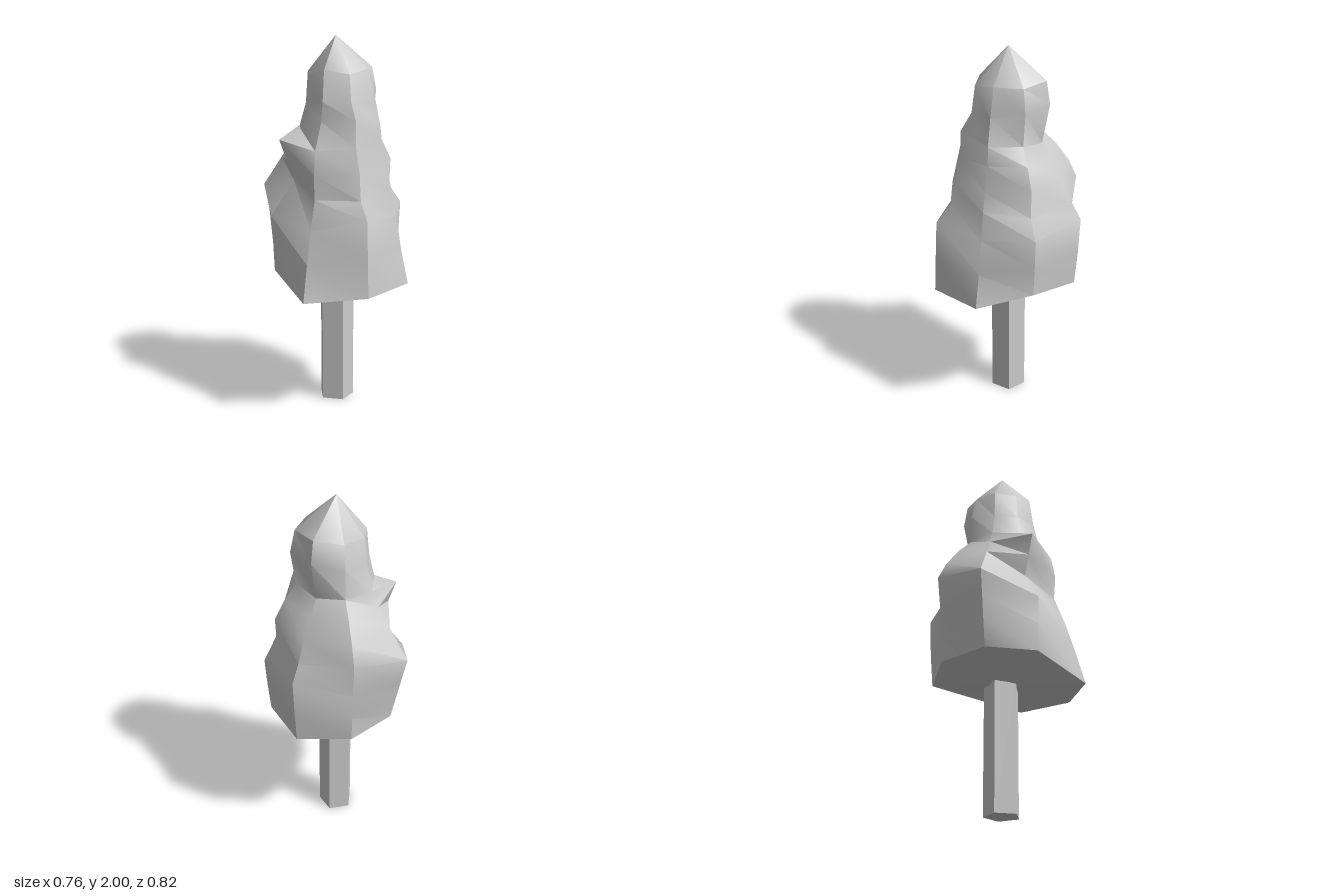
import * as THREE from 'three';
import { toCreasedNormals } from 'three/addons/utils/BufferGeometryUtils.js';

const CX = -0.01, CZ = -0.013;

// Eight ridges, going round from the front towards +x; each is [radius, height] from top to bottom.
const RIDGES = [
  [[0.18, 1.81], [0.2, 1.67], [0.26, 1.58], [0.265, 1.44], [0.31, 1.31], [0.325, 1.18], [0.405, 1.09], [0.415, 0.9], [0.425, 0.69]], // front
  [[0.18, 1.83], [0.22, 1.68], [0.25, 1.54], [0.255, 1.44], [0.29, 1.31], [0.315, 1.21], [0.34, 1.06], [0.375, 0.88], [0.415, 0.7]],
  [[0.21, 1.83], [0.235, 1.71], [0.21, 1.53], [0.27, 1.44], [0.325, 1.33], [0.32, 1.18], [0.39, 1.08], [0.38, 0.92], [0.365, 0.76]], // +x
  [[0.21, 1.84], [0.23, 1.72], [0.19, 1.51], [0.24, 1.43], [0.3, 1.33], [0.36, 1.21], [0.415, 1.12], [0.405, 0.92], [0.39, 0.74]],
  [[0.17, 1.81], [0.2, 1.68], [0.2, 1.52], [0.27, 1.45], [0.35, 1.34], [0.397, 1.24], [0.375, 1.05], [0.368, 0.9], [0.362, 0.76]], // back
  [[0.16, 1.81], [0.17, 1.65], [0.21, 1.52], [0.25, 1.44], [0.32, 1.34], [0.43, 1.18], [0.4, 1.04], [0.375, 0.92], [0.345, 0.78]],
  [[0.155, 1.8], [0.17, 1.65], [0.2, 1.52], [0.32, 1.47], [0.28, 1.36], [0.24, 1.25], [0.37, 1.07], [0.362, 0.92], [0.355, 0.77]], // -x, with spur
  [[0.16, 1.83], [0.18, 1.67], [0.2, 1.57], [0.28, 1.43], [0.3, 1.31], [0.29, 1.18], [0.345, 1.03], [0.395, 0.86], [0.445, 0.67]],
];

function foliageGeometry() {
  const n = RIDGES.length, rows = RIDGES[0].length;
  const position = [], index = [];
  const id = (row, j) => row * n + (j % n);
  for (let i = 0; i < rows; i++) {
    RIDGES.forEach((ridge, j) => {
      const a = (j / n) * Math.PI * 2, [r, y] = ridge[i];
      position.push(CX + r * Math.sin(a), y, CZ + r * Math.cos(a));
    });
  }
  // Tip and centre of the underside
  const tip = rows * n, base = tip + 1;
  position.push(CX, 2, CZ, CX, 0.67, CZ);
  for (let j = 0; j < n; j++) {
    index.push(tip, id(0, j), id(0, j + 1));
    for (let i = 0; i < rows - 1; i++) {
      const a = id(i, j), b = id(i + 1, j), c = id(i + 1, j + 1), d = id(i, j + 1);
      index.push(a, b, c, a, c, d);
    }
    index.push(base, id(rows - 1, j + 1), id(rows - 1, j));
  }
  const g = new THREE.BufferGeometry();
  g.setAttribute('position', new THREE.Float32BufferAttribute(position, 3));
  g.setIndex(index);
  return toCreasedNormals(g, 0.7);
}

export function createModel() {
  const group = new THREE.Group();
  group.name = 'tree';

  // Lumpy crown of leaves
  const foliage = new THREE.Mesh(foliageGeometry(), new THREE.MeshStandardMaterial({ color: 0xcccccc }));
  foliage.name = 'foliage';

  // Five-sided trunk, one corner facing the front
  const trunk = new THREE.Mesh(
    new THREE.CylinderGeometry(0.097, 0.097, 0.7, 5),
    new THREE.MeshStandardMaterial({ color: 0xcccccc, flatShading: true })
  );
  trunk.name = 'trunk';
  trunk.position.set(CX, 0.35, CZ);

  group.add(foliage, trunk);
  return group;
}
